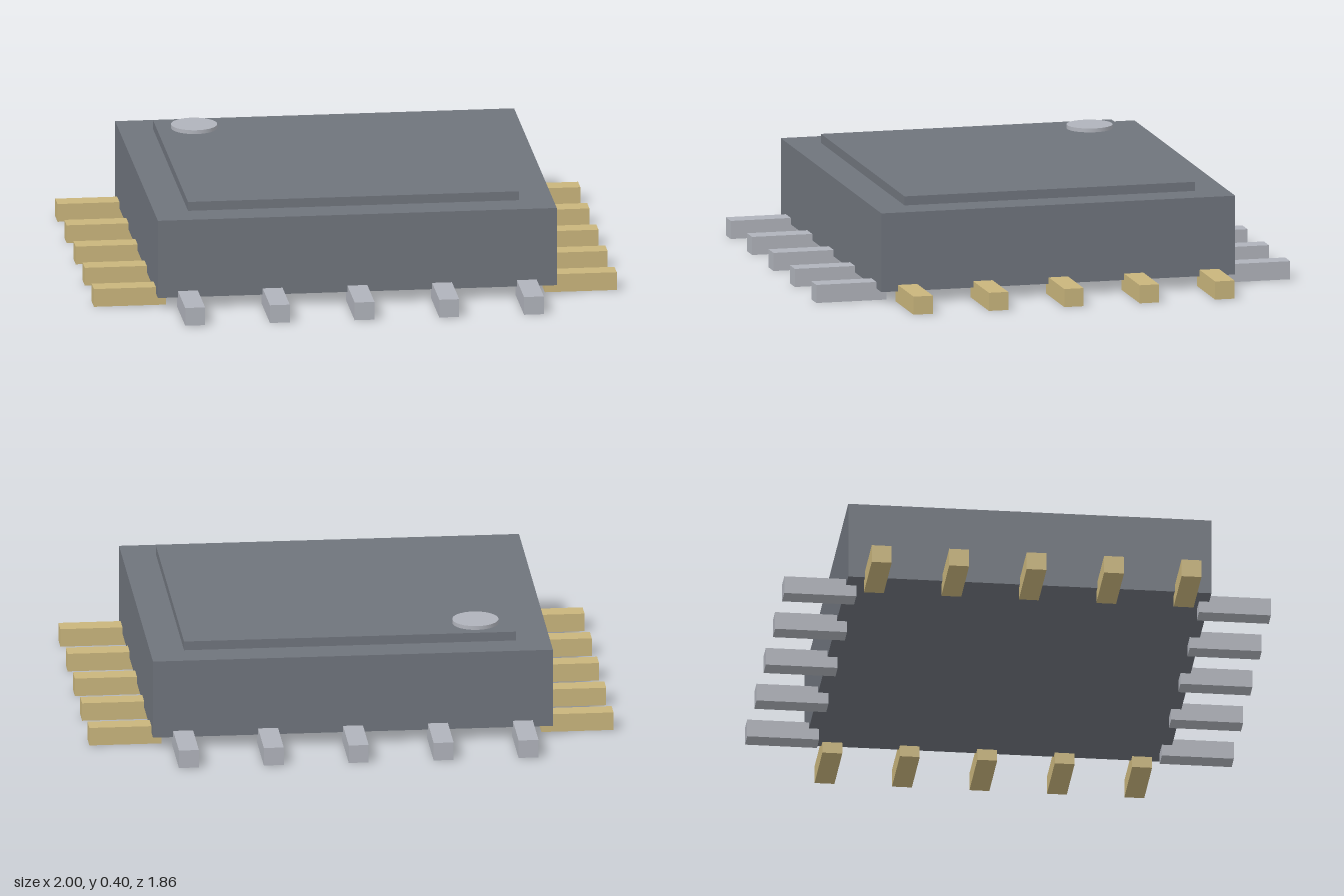
import * as THREE from 'three';

export function createModel() {
  const group = new THREE.Group();
  const material = (name, color) => {
    const m = new THREE.MeshStandardMaterial({ color });
    m.name = name;
    return m;
  };
  const grey = material('packageGrey', 0x6f747c);
  const gold = material('gold', 0xc9b57c);
  const silver = material('silver', 0xb0b3bb);

  // Box given by its minimum and maximum corners
  function block(name, mat, min, max) {
    const size = max.map((v, i) => v - min[i]);
    const mesh = new THREE.Mesh(new THREE.BoxGeometry(...size), mat);
    mesh.position.set(...max.map((v, i) => (v + min[i]) / 2));
    mesh.name = name;
    group.add(mesh);
  }

  // Chip body with a raised lid
  block('body', grey, [-0.763, 0.045, -0.694], [0.763, 0.35, 0.694]);
  block('lid', grey, [-0.633, 0.35, -0.57], [0.633, 0.385, 0.57]);

  // Round orientation mark on the lid
  const mark = new THREE.Mesh(new THREE.CylinderGeometry(0.088, 0.088, 0.015, 32), silver);
  mark.position.set(-0.49, 0.3925, -0.447);
  mark.name = 'orientationMark';
  group.add(mark);

  // Five pins on each of the four sides
  const half = 0.038;
  for (let i = -2; i <= 2; i++) {
    const z = i * 0.296;
    block('leftPin', gold, [0.725, 0, z - half], [1, 0.07, z + half]);
    block('rightPin', gold, [-1, 0, z - half], [-0.725, 0.07, z + half]);
    const x = i * 0.324;
    block('frontPin', silver, [x - half, 0, 0.655], [x + half, 0.07, 0.93]);
    block('backPin', silver, [x - half, 0, -0.93], [x + half, 0.07, -0.655]);
  }
  return group;
}
